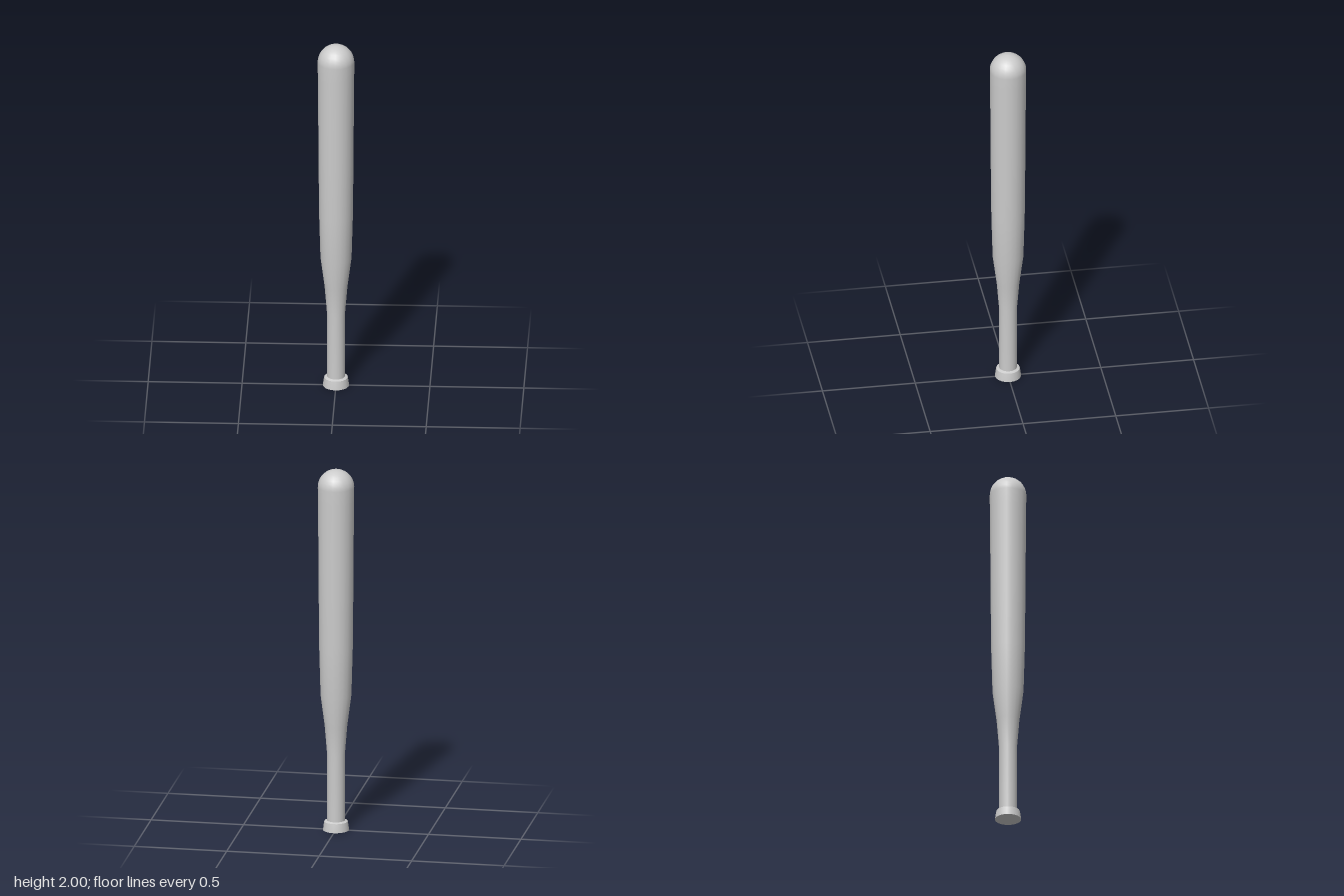
import * as THREE from 'three';

const SIDES = 20;

export function createModel() {
  const group = new THREE.Group();
  const material = new THREE.MeshStandardMaterial({ color: 0xcccccc });

  // Turned part from [radius, height] pairs, listed bottom to top
  const turned = (name, profile) => {
    const points = profile.map(([r, y]) => new THREE.Vector2(r, y));
    const mesh = new THREE.Mesh(new THREE.LatheGeometry(points, SIDES), material);
    mesh.name = name;
    group.add(mesh);
  };

  // Handle, taper and barrel, closed by a rounded tip
  const body = [
    [0.048, 0.04], [0.048, 0.42], [0.061, 0.58], [0.083, 0.75],
    [0.09, 1.0], [0.093, 1.3], [0.095, 1.6], [0.097, 1.82],
  ];
  const tipSteps = 8;
  for (let i = 0; i <= tipSteps; i++) {
    const a = (i / tipSteps) * Math.PI / 2;
    body.push([i === tipSteps ? 0 : 0.098 * Math.cos(a), 1.902 + 0.098 * Math.sin(a)]);
  }
  turned('body', body);

  // Flared knob with a flat shoulder and a flat base
  turned('knobSide', [[0.07, 0], [0.067, 0.025], [0.063, 0.048]]);
  turned('knobShoulder', [[0.063, 0.048], [0.047, 0.054]]);
  turned('knobBase', [[0, 0], [0.07, 0]]);

  return group;
}
